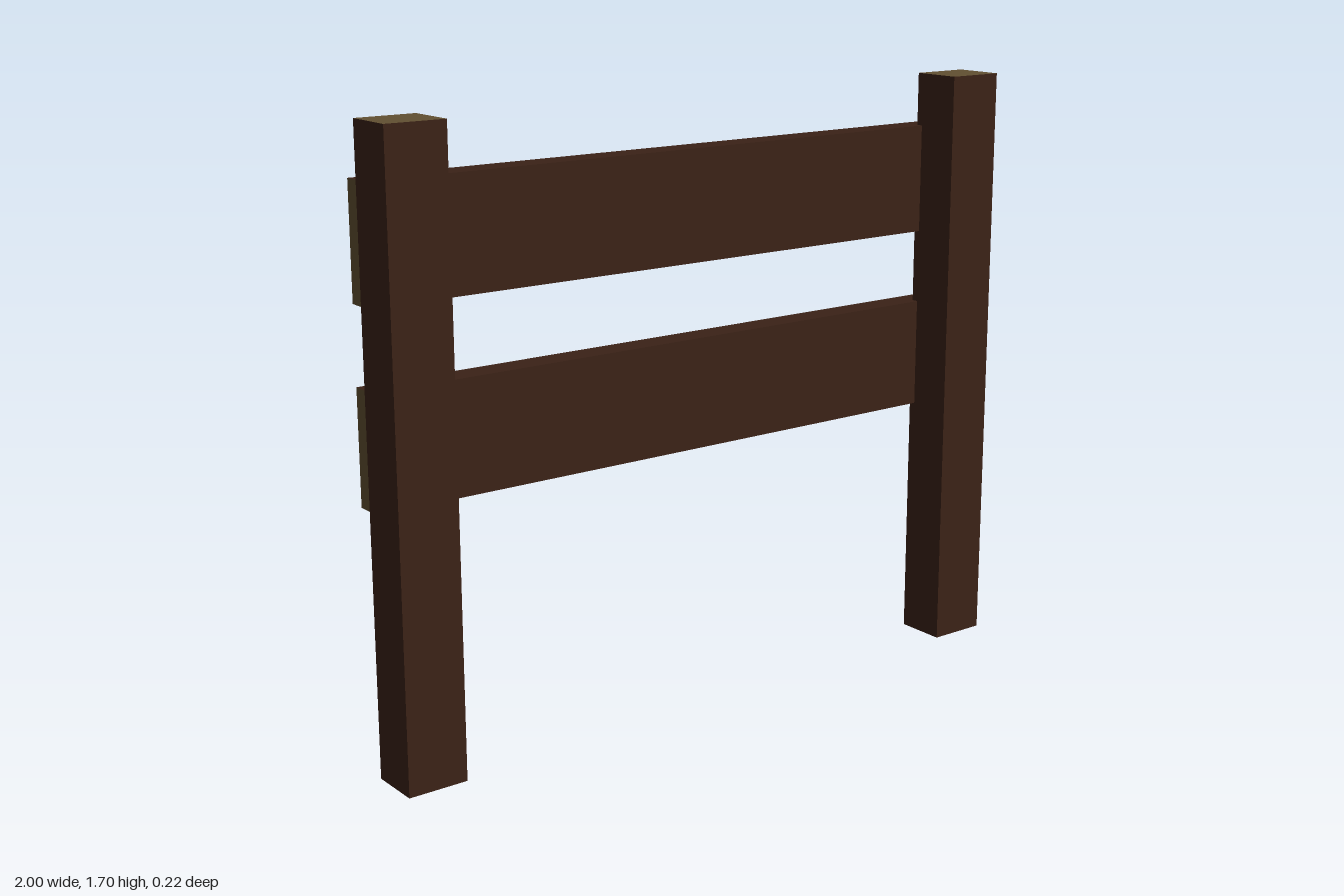
import * as THREE from 'three';

const bark = new THREE.MeshStandardMaterial({ color: 0x3b2217 });
const cutWood = new THREE.MeshStandardMaterial({ color: 0x625032 });
const steel = new THREE.MeshStandardMaterial({ color: 0x5a5f64, flatShading: true });

// Box spanning two corners; materials run +x, -x, +y, -y, +z, -z
function block(name, min, max, materials) {
  const size = max.map((v, i) => v - min[i]);
  const mesh = new THREE.Mesh(new THREE.BoxGeometry(...size), materials);
  mesh.position.set(...max.map((v, i) => (v + min[i]) / 2));
  mesh.name = name;
  return mesh;
}

export function createModel() {
  const fence = new THREE.Group();
  fence.name = 'fence';

  // Two square posts with bare sawn tops
  const postMaterials = [bark, bark, cutWood, bark, bark, bark];
  fence.add(block('rightPost', [-1, 0, -0.036], [-0.83, 1.695, 0.11], postMaterials));
  fence.add(block('leftPost', [0.83, 0, -0.036], [1, 1.695, 0.11], postMaterials));

  // Two rails let slightly into the back of the posts, with bare sawn ends
  const railMaterials = [cutWood, cutWood, bark, bark, bark, bark];
  fence.add(block('upperRail', [-0.99, 1.235, -0.097], [0.95, 1.545, -0.017], railMaterials));
  fence.add(block('lowerRail', [-0.99, 0.713, -0.097], [0.95, 1.025, -0.017], railMaterials));

  // Nail heads on the back of the rails, unevenly placed
  const nails = new THREE.Group();
  nails.name = 'nails';
  const nailGeometry = new THREE.CylinderGeometry(0.02, 0.02, 0.02, 8).rotateX(Math.PI / 2);
  const spots = [
    [0.9, 1.517], [0.85, 1.4], [0.9, 1.3], [-0.935, 1.485], [-0.935, 1.3],
    [0.9, 0.973], [0.9, 0.765], [-0.935, 0.928], [-0.935, 0.765],
  ];
  for (const [x, y] of spots) {
    const nail = new THREE.Mesh(nailGeometry, steel);
    nail.name = 'nail';
    nail.position.set(x, y, -0.1);
    nails.add(nail);
  }
  fence.add(nails);
  return fence;
}
